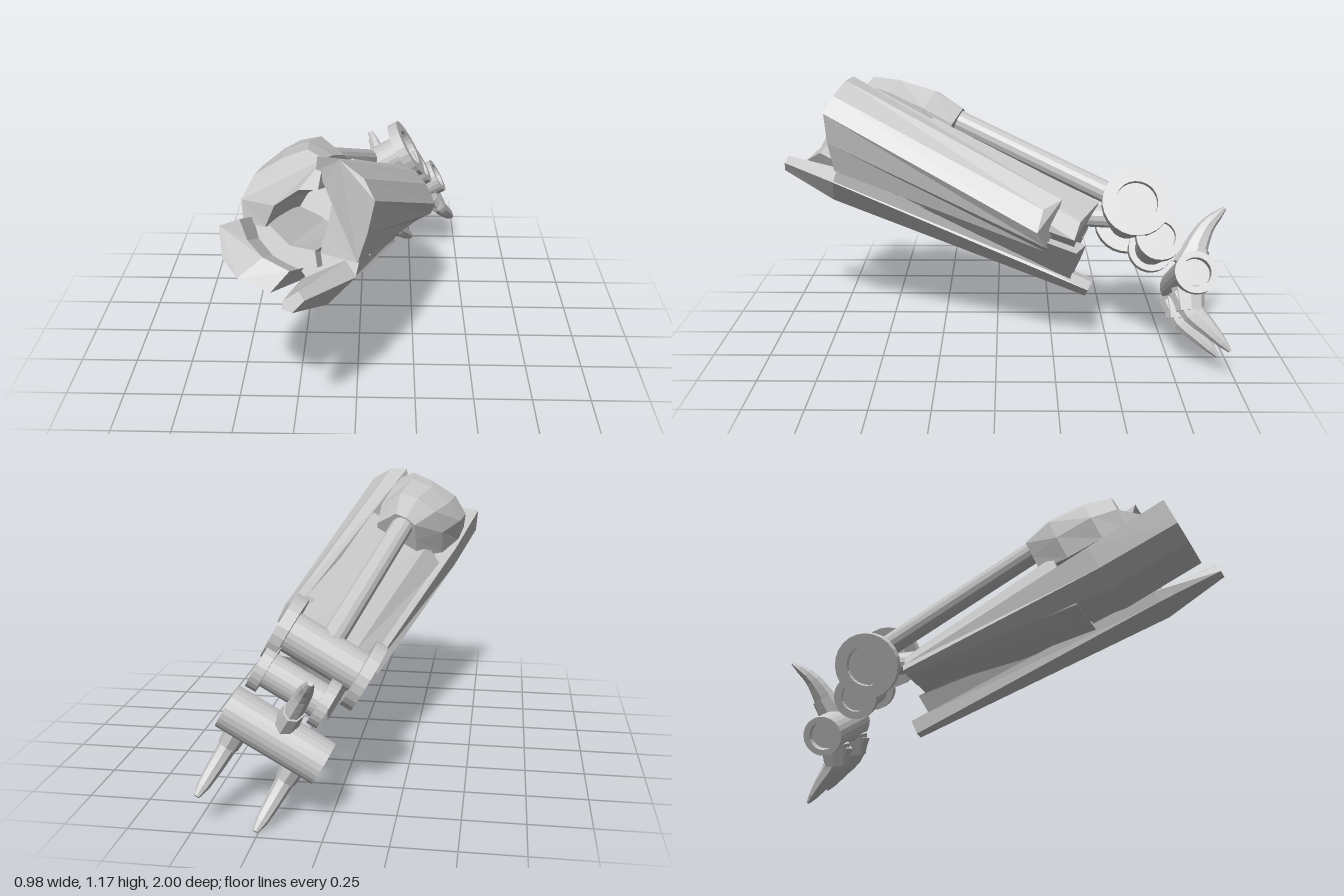
import * as THREE from 'three';

const grey = new THREE.MeshStandardMaterial({ color: 0xc8c8c8 });
grey.name = 'plain grey';

function flat(geometry) {
  const g = geometry.index ? geometry.toNonIndexed() : geometry;
  g.computeVertexNormals();
  return g;
}

function add(parent, name, geometry) {
  const mesh = new THREE.Mesh(flat(geometry), grey);
  mesh.name = name;
  parent.add(mesh);
  return mesh;
}

// Joins cross-sections [z, [[x, y, dz], ...]] from front to back and caps both ends.
function loft(sections) {
  const pos = [];
  const rings = sections.map(([z, pts]) => pts.map(([x, y, dz = 0]) => new THREE.Vector3(x, y, z + dz)));
  if (THREE.ShapeUtils.isClockWise(rings[0])) rings.forEach((r) => r.reverse());
  const tri = (a, b, c) => pos.push(...a.toArray(), ...b.toArray(), ...c.toArray());
  for (let s = 0; s + 1 < rings.length; s++) {
    const f = rings[s], b = rings[s + 1];
    f.forEach((p, i) => {
      const j = (i + 1) % f.length;
      tri(p, b[i], f[j]);
      tri(f[j], b[i], b[j]);
    });
  }
  const cap = (ring, front) => {
    const outline = ring.map((p) => new THREE.Vector2(p.x, p.y));
    for (const [a, b, c] of THREE.ShapeUtils.triangulateShape(outline, [])) {
      if (front) tri(ring[a], ring[b], ring[c]);
      else tri(ring[a], ring[c], ring[b]);
    }
  };
  cap(rings[0], true);
  cap(rings[rings.length - 1], false);
  const g = new THREE.BufferGeometry();
  g.setAttribute('position', new THREE.Float32BufferAttribute(pos, 3));
  return g;
}

// Spool lying along x, with recessed ends.
function spool(x0, x1, rim, barrel, bore, lip, depth) {
  const pts = [
    [0, x0 + depth], [bore, x0 + depth], [bore, x0], [rim, x0], [rim, x0 + lip], [barrel, x0 + lip],
    [barrel, x1 - lip], [rim, x1 - lip], [rim, x1], [bore, x1], [bore, x1 - depth], [0, x1 - depth],
  ].map(([r, x]) => new THREE.Vector2(r, x));
  return new THREE.LatheGeometry(pts, 24).rotateZ(-Math.PI / 2);
}

// Round bar between two points.
function bar(from, to, radius) {
  const a = new THREE.Vector3(...from), b = new THREE.Vector3(...to);
  const dir = b.clone().sub(a);
  const g = new THREE.CylinderGeometry(radius, radius, dir.length(), 14);
  g.applyQuaternion(new THREE.Quaternion().setFromUnitVectors(new THREE.Vector3(0, 1, 0), dir.normalize()));
  return g.translate(...a.add(b).multiplyScalar(0.5).toArray());
}

// Bent, blunt claw: a cylinder swept along a curve in the y-z plane.
function claw(x, path) {
  const curve = new THREE.CatmullRomCurve3(path.map(([y, z]) => new THREE.Vector3(x, y, z)));
  const g = new THREE.CylinderGeometry(1, 1, 1, 8, 8);
  const p = g.attributes.position;
  const side = new THREE.Vector3(1, 0, 0);
  for (let i = 0; i < p.count; i++) {
    const t = THREE.MathUtils.clamp(p.getY(i) + 0.5, 0, 1);
    const out = new THREE.Vector3().crossVectors(side, curve.getTangent(t));
    const width = 0.012 + 0.026 * Math.sqrt(1 - t * t);
    const depth = 0.008 + 0.06 * Math.pow(1 - t, 0.7);
    const q = curve.getPoint(t).addScaledVector(side, p.getX(i) * width).addScaledVector(out, p.getZ(i) * depth);
    p.setXYZ(i, q.x, q.y, q.z);
  }
  return g;
}

export function createModel() {
  const model = new THREE.Group();
  model.name = 'mechanicalForearm';
  // The arm is built along z, then rolled and pitched into its pose
  const arm = new THREE.Group();
  arm.name = 'arm';
  arm.rotation.set(-0.452, 0, Math.PI / 6, 'ZYX');
  model.add(arm);

  // Inner body
  add(arm, 'forearmCore', loft([
    [0.64, [[0.06, 0.45], [0.1, 0.62], [0.2, 0.68], [0.49, 0.68], [0.55, 0.56], [0.45, 0.38], [0.38, 0.3], [0.18, 0.31]]],
    [-0.17, [[0.15, 0.57], [0.15, 0.61], [0.25, 0.65], [0.46, 0.66], [0.565, 0.52, 0.03], [0.55, 0.44, 0.02], [0.38, 0.42], [0.25, 0.45]]],
  ]));

  // Arched elbow cap around the front opening
  add(arm, 'elbowCap', loft([
    [0.98, [[0.08, 0.62], [0.11, 0.7], [0.2, 0.76], [0.33, 0.765], [0.43, 0.75], [0.47, 0.69],
      [0.42, 0.59, 0.08], [0.36, 0.62, 0.1], [0.25, 0.61, 0.1], [0.17, 0.56, 0.06]]],
    [0.87, [[0.08, 0.63], [0.12, 0.73], [0.21, 0.79], [0.32, 0.81], [0.42, 0.79], [0.48, 0.7],
      [0.42, 0.6], [0.36, 0.64], [0.25, 0.63], [0.16, 0.57]]],
    [0.7, [[0.12, 0.64], [0.17, 0.74], [0.25, 0.82], [0.35, 0.835], [0.43, 0.81], [0.48, 0.7],
      [0.43, 0.62], [0.37, 0.64], [0.25, 0.64], [0.17, 0.59]]],
    [0.56, [[0.22, 0.66], [0.26, 0.73], [0.3, 0.8], [0.35, 0.81], [0.4, 0.8], [0.45, 0.7],
      [0.42, 0.64], [0.37, 0.64], [0.28, 0.64], [0.24, 0.62]]],
  ]));

  // Sloping panel inside the front opening
  add(arm, 'openingPanel', loft([
    [1.0, [[0.09, 0.6], [0.13, 0.4], [0.27, 0.34], [0.29, 0.4], [0.21, 0.46], [0.16, 0.6]]],
    [0.6, [[0.1, 0.6], [0.13, 0.38], [0.27, 0.34], [0.36, 0.42], [0.28, 0.52], [0.2, 0.62]]],
  ]));

  // Thick curved shell on the left side
  add(arm, 'leftShell', loft([
    [1.05, [[0.47, 0.7], [0.54, 0.65], [0.59, 0.55], [0.59, 0.46], [0.5, 0.37, -0.05], [0.4, 0.29, -0.11],
      [0.28, 0.39, -0.12], [0.36, 0.46, -0.1], [0.42, 0.53, -0.08], [0.43, 0.6, -0.06], [0.43, 0.66, -0.04]]],
    [0, [[0.54, 0.62, 0.0], [0.58, 0.57, -0.03], [0.605, 0.49, 0.02], [0.6, 0.39, 0], [0.55, 0.36, -0.06], [0.47, 0.36, -0.06],
      [0.43, 0.41], [0.46, 0.46], [0.48, 0.5], [0.48, 0.55], [0.47, 0.62]]],
  ]));

  // Wall between the shells and the blade
  add(arm, 'lowerFlank', loft([
    [0.93, [[0.18, 0.38], [0.3, 0.39], [0.42, 0.31], [0.37, 0.25], [0.2, 0.29]]],
    [-0.2, [[0.22, 0.47], [0.43, 0.47], [0.52, 0.4, 0.02], [0.29, 0.33], [0.215, 0.35]]],
  ]));

  // Right shell, rising towards the wrist
  add(arm, 'rightShell', loft([
    [1.16, [[0.055, 0.63], [0.01, 0.52], [0.03, 0.43], [0.12, 0.33], [0.2, 0.37, -0.06], [0.13, 0.46, -0.06], [0.11, 0.54, -0.05], [0.125, 0.62, -0.03]]],
    [0.8, [[0.07, 0.63], [0.03, 0.53], [0.05, 0.43], [0.13, 0.33], [0.2, 0.36], [0.14, 0.45], [0.12, 0.53], [0.13, 0.62]]],
    [-0.17, [[0.15, 0.62], [0.12, 0.6], [0.13, 0.57], [0.19, 0.51], [0.25, 0.53], [0.21, 0.56], [0.19, 0.59], [0.19, 0.62]]],
  ]));

  // Long blade underneath
  add(arm, 'lowerBlade', loft([
    [1.21, [[0.15, 0.26], [0.18, 0.23], [0.24, 0.25], [0.235, 0.29], [0.17, 0.285]]],
    [0.93, [[0.155, 0.28], [0.22, 0.2], [0.37, 0.245], [0.36, 0.32], [0.17, 0.33]]],
    [-0.29, [[0.195, 0.33], [0.215, 0.305], [0.285, 0.32], [0.295, 0.36], [0.22, 0.39]]],
  ]));

  // Push rod and wrist strut
  add(arm, 'pushRod', bar([0.345, 0.755, 0.65], [0.355, 0.74, -0.3], 0.05));
  add(arm, 'wristStrut', bar([0.385, 0.56, -0.05], [0.385, 0.68, -0.33], 0.05));

  // Wrist joints and palm: [name, x0, x1, y, z, rim, barrel, bore, lip, depth]
  for (const [name, x0, x1, y, z, ...shape] of [
    ['upperWristSpool', 0.15, 0.56, 0.705, -0.315, 0.145, 0.085, 0.09, 0.05, 0.03],
    ['lowerWristSpool', 0.23, 0.55, 0.615, -0.465, 0.1, 0.072, 0.065, 0.045, 0.025],
    ['palmCylinder', 0.14, 0.565, 0.54, -0.66, 0.089, 0.089, 0.062, 0.05, 0.04],
  ]) add(arm, name, spool(x0, x1, ...shape)).position.set(0, y, z);

  // Claws with their sockets
  const fingers = [[0.23, -1], [0.487, -1], [0.34, 1]];
  for (const [x, way] of fingers) {
    const path = way < 0
      ? [[0.47, -0.65], [0.4, -0.717], [0.36, -0.815], [0.315, -0.925]]
      : [[0.6, -0.64], [0.7, -0.635], [0.8, -0.64], [0.91, -0.68]];
    const finger = new THREE.Group();
    finger.name = way < 0 ? 'lowerFinger' : 'thumb';
    arm.add(finger);
    add(finger, 'claw', claw(x, path));
    const socket = add(finger, 'clawSocket', new THREE.CylinderGeometry(0.042, 0.05, 0.1, 8));
    socket.position.set(x, way < 0 ? 0.44 : 0.645, way < 0 ? -0.685 : -0.64);
    socket.rotation.x = way < 0 ? Math.PI + 0.5 : 0;
    socket.scale.z = 1.4;
  }
  return model;
}
